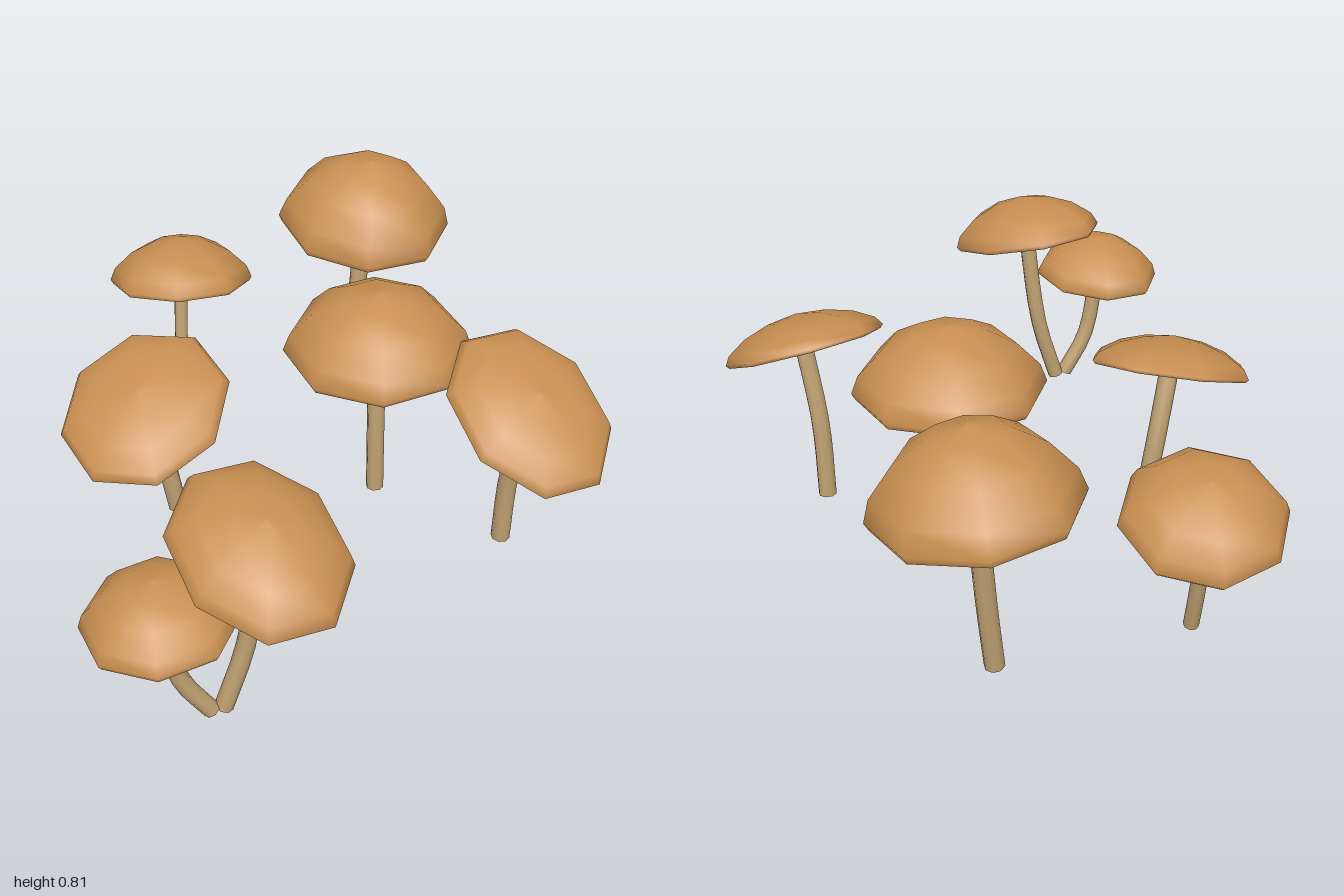
import * as THREE from 'three';

const capMaterial = new THREE.MeshStandardMaterial({ color: 0xc98f51 });
capMaterial.name = 'capBrown';
const stemMaterial = new THREE.MeshStandardMaterial({ color: 0xc0a273 });
stemMaterial.name = 'stemTan';

// Unit profiles (radius, height) shared by every cap
const toPoints = (list) => list.map(([r, h]) => new THREE.Vector2(r, h));
const domeProfile = toPoints([[0.96, 0], [1, 0.09], [0.93, 0.34], [0.69, 0.67], [0.37, 0.9], [0, 1]]);
const gillProfile = toPoints([[0, 0.3], [0.35, 0.25], [0.75, 0.14], [0.96, 0]]);

// center: middle of the rim; slope: rise of the rim plane along x and z;
// radius: plan radii; stem: points from the ground up
const mushrooms = [
  { center: [0.055, 0.405, -0.78], slope: [-0.12, 0.25], radius: [0.24, 0.235], height: 0.16, turn: 17,
    stemRadius: 0.023, stem: [[0.015, 0.005, -0.71], [0.035, 0.2, -0.755]] },
  { center: [0.65, 0.56, -0.58], slope: [-0.03, -0.11], radius: [0.288, 0.285], height: 0.255, turn: 17,
    stemRadius: 0.03, stem: [[0.58, 0.02, -0.54], [0.61, 0.25, -0.55]] },
  { center: [0.31, 0.52, 0.05], slope: [0.02, -0.02], radius: [0.288, 0.285], height: 0.22, turn: 17,
    stemRadius: 0.028, stem: [[0.3, 0.03, 0.085], [0.297, 0.27, 0.08]] },
  { center: [-0.39, 0.445, -0.125], slope: [0.36, -0.25], radius: [0.255, 0.26], height: 0.11, turn: 26,
    stemRadius: 0.03, stem: [[-0.295, 0.03, -0.135], [-0.335, 0.25, -0.14]] },
  { center: [0.515, 0.53, 0.54], slope: [0, -0.48], radius: [0.237, 0.265], height: 0.11, turn: 18,
    stemRadius: 0.029, stem: [[0.505, 0.03, 0.485], [0.503, 0.28, 0.5]] },
  { center: [-0.478, 0.57, 0.733], slope: [0, -0.3], radius: [0.235, 0.275], height: 0.15, turn: 17,
    stemRadius: 0.027, stem: [[-0.57, 0.03, 0.695], [-0.51, 0.25, 0.715]] },
  { center: [-0.73, 0.385, 0.665], slope: [0.08, 0.05], radius: [0.212, 0.215], height: 0.155, turn: 17,
    stemRadius: 0.026, stem: [[-0.605, 0.03, 0.69], [-0.685, 0.17, 0.67]] },
];

function addMesh(group, name, geometry, material) {
  const mesh = new THREE.Mesh(geometry, material);
  mesh.name = name;
  group.add(mesh);
  return mesh;
}

function createMushroom({ center, slope, radius, height, turn, stemRadius, stem }) {
  const group = new THREE.Group();
  const middle = new THREE.Vector3(...center);
  const normal = new THREE.Vector3(-slope[0], 1, -slope[1]).normalize();

  // Tilted eight-sided cap: the unit profile is mapped onto the rim plane
  const place = new THREE.Matrix4().makeBasis(
    new THREE.Vector3(1, slope[0], 0).multiplyScalar(radius[0]),
    normal.clone().multiplyScalar(height),
    new THREE.Vector3(0, slope[1], 1).multiplyScalar(radius[1]),
  ).setPosition(middle);
  const lathe = (profile) =>
    new THREE.LatheGeometry(profile, 8, THREE.MathUtils.degToRad(turn)).applyMatrix4(place);
  addMesh(group, 'cap', lathe(domeProfile), capMaterial);
  addMesh(group, 'capUnderside', lathe(gillProfile), stemMaterial);

  // Curved stem reaching into the hollow of the cap
  const points = stem.map((p) => new THREE.Vector3(...p));
  points.push(middle.clone().addScaledVector(normal, height * 0.4));
  const path = new THREE.CatmullRomCurve3(points);
  addMesh(group, 'stem', new THREE.TubeGeometry(path, 8, stemRadius, 8), stemMaterial);

  // Disc closing the foot of the stem
  const foot = addMesh(group, 'stemFoot', new THREE.CircleGeometry(stemRadius, 8), stemMaterial);
  foot.position.copy(points[0]);
  foot.lookAt(points[0].clone().sub(path.getTangent(0)));
  return group;
}

export function createModel() {
  const model = new THREE.Group();
  model.name = 'mushroomCluster';
  mushrooms.forEach((spec, i) => {
    const mushroom = createMushroom(spec);
    mushroom.name = `mushroom${i + 1}`;
    model.add(mushroom);
  });
  return model;
}
